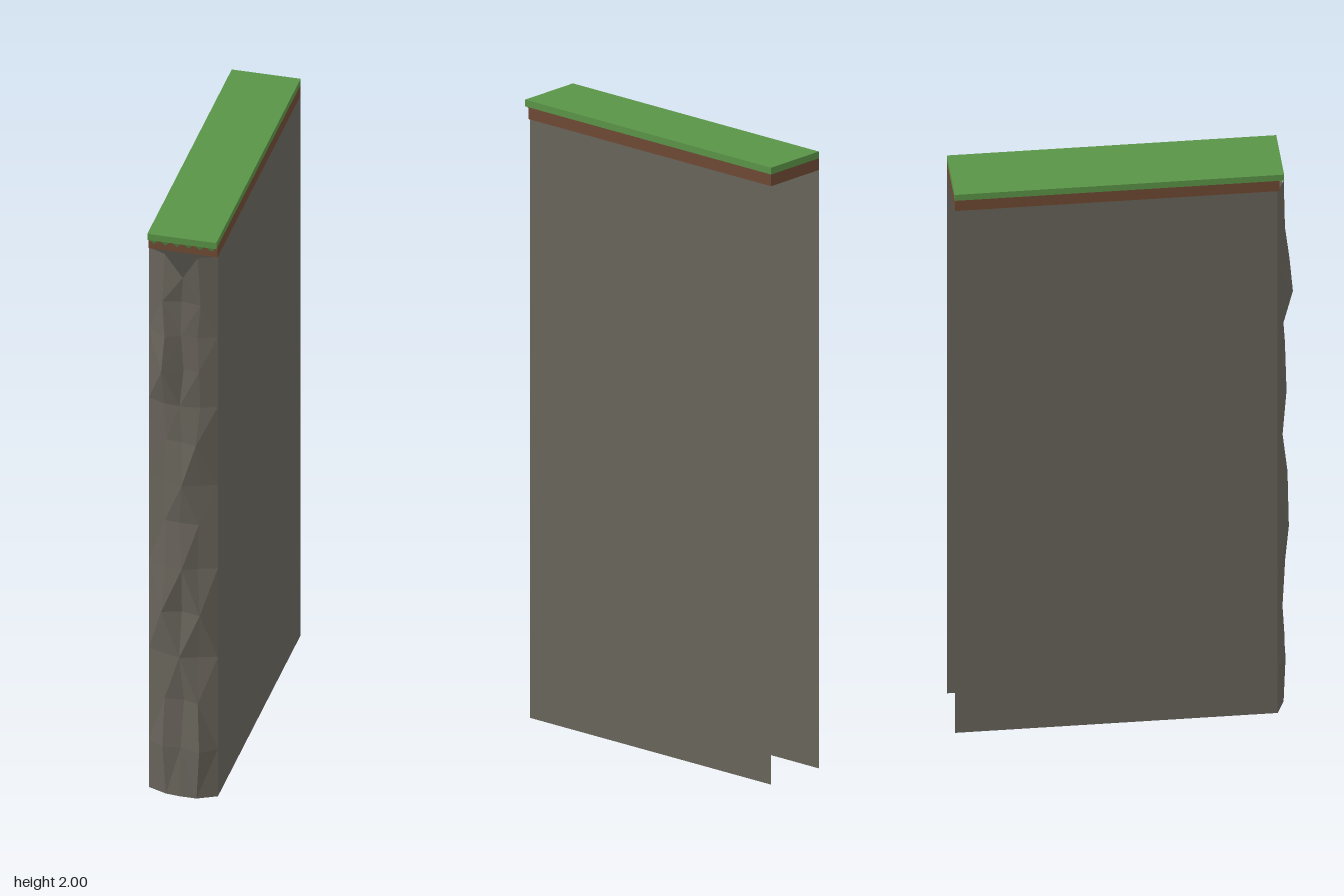
import * as THREE from 'three';

const W = 0.11, BACK = -0.527, EDGE = 0.475, WALL_TOP = 1.94;

const stone = new THREE.MeshStandardMaterial({ color: 0x69655c, flatShading: true, side: THREE.DoubleSide });
stone.name = 'stone';
const soil = new THREE.MeshStandardMaterial({ color: 0x6f4a34 });
soil.name = 'soil';
const grass = new THREE.MeshStandardMaterial({ color: 0x5a9447, side: THREE.DoubleSide });
grass.name = 'grass';

function add(group, name, geometry, material) {
  const mesh = new THREE.Mesh(geometry, material);
  mesh.name = name;
  group.add(mesh);
  return mesh;
}

function slab(group, name, y0, y1, z0, z1, material) {
  const mesh = add(group, name, new THREE.BoxGeometry(2 * W, y1 - y0, z1 - z0), material);
  mesh.position.set(0, (y0 + y1) / 2, (z0 + z1) / 2);
}

// Craggy face: each row is height, then the depth of its three inner columns
function rockGeometry() {
  const rows = [
    [0, 0.5, 0.505, 0.505], [0.17, 0.505, 0.495, 0.515], [0.34, 0.495, 0.49, 0.505],
    [0.5, 0.495, 0.51, 0.49], [0.66, 0.515, 0.495, 0.51], [0.82, 0.505, 0.518, 0.495],
    [0.98, 0.495, 0.5, 0.498], [1.12, 0.49, 0.515, 0.495], [1.27, 0.495, 0.498, 0.515],
    [1.4, 0.495, 0.503, 0.495], [1.53, 0.528, 0.495, 0.5], [1.65, 0.518, 0.495, 0.495],
    [1.77, 0.503, 0.49, 0.498], [WALL_TOP, 0.5, 0.505, 0.502],
  ];
  const pos = [], index = [], last = rows.length - 1;
  rows.forEach(([y, ...depth], r) => {
    [EDGE, ...depth, EDGE].forEach((z, c) => {
      const inner = c > 0 && c < 4;
      const x = (c - 2) * W / 2 + (inner ? 0.006 * Math.sin(r * 2.3 + c * 1.7) : 0);
      // The middle of the upper rim dips to leave a notch
      pos.push(x, r === last && c === 2 ? 1.865 : y, z);
      if (r < last && c < 4) {
        const a = r * 5 + c, b = a + 1, d = a + 5, e = a + 6;
        // Alternate diagonals form diamond-shaped facets
        if ((r + c) % 2) index.push(a, b, e, a, e, d);
        else index.push(a, b, d, b, e, d);
      }
    });
  });
  const g = new THREE.BufferGeometry();
  g.setAttribute('position', new THREE.Float32BufferAttribute(pos, 3));
  g.setIndex(index);
  g.computeVertexNormals();
  return g;
}

export function createModel() {
  const model = new THREE.Group();
  model.name = 'cliffSegment';

  // Side walls: single sheets, open at the back and below
  for (const side of [-1, 1]) {
    const wall = add(model, side > 0 ? 'leftWall' : 'rightWall',
      new THREE.PlaneGeometry(EDGE - BACK, WALL_TOP), stone);
    wall.rotation.y = side * Math.PI / 2;
    wall.position.set(side * W, WALL_TOP / 2, (EDGE + BACK) / 2);
  }
  add(model, 'rockFace', rockGeometry(), stone);

  // Cap: soil layer under an overhanging turf layer
  slab(model, 'soilLayer', WALL_TOP, 1.978, BACK, 0.48, soil);
  slab(model, 'turfLayer', 1.978, 2, BACK, 0.495, grass);

  // Zigzag grass fringe sloping back from the lip to the soil
  const teeth = 6, step = 2 * W / teeth, fringe = new THREE.Shape();
  fringe.moveTo(-W, 0);
  for (let i = 0; i < teeth; i++) {
    fringe.lineTo(-W + (i + 0.5) * step, -0.024);
    fringe.lineTo(-W + (i + 1) * step, 0);
  }
  fringe.lineTo(W, 0.008);
  fringe.lineTo(-W, 0.008);
  const fringeMesh = add(model, 'grassFringe', new THREE.ShapeGeometry(fringe), grass);
  fringeMesh.position.set(0, 1.982, 0.492);
  fringeMesh.rotation.x = 0.35;
  return model;
}
